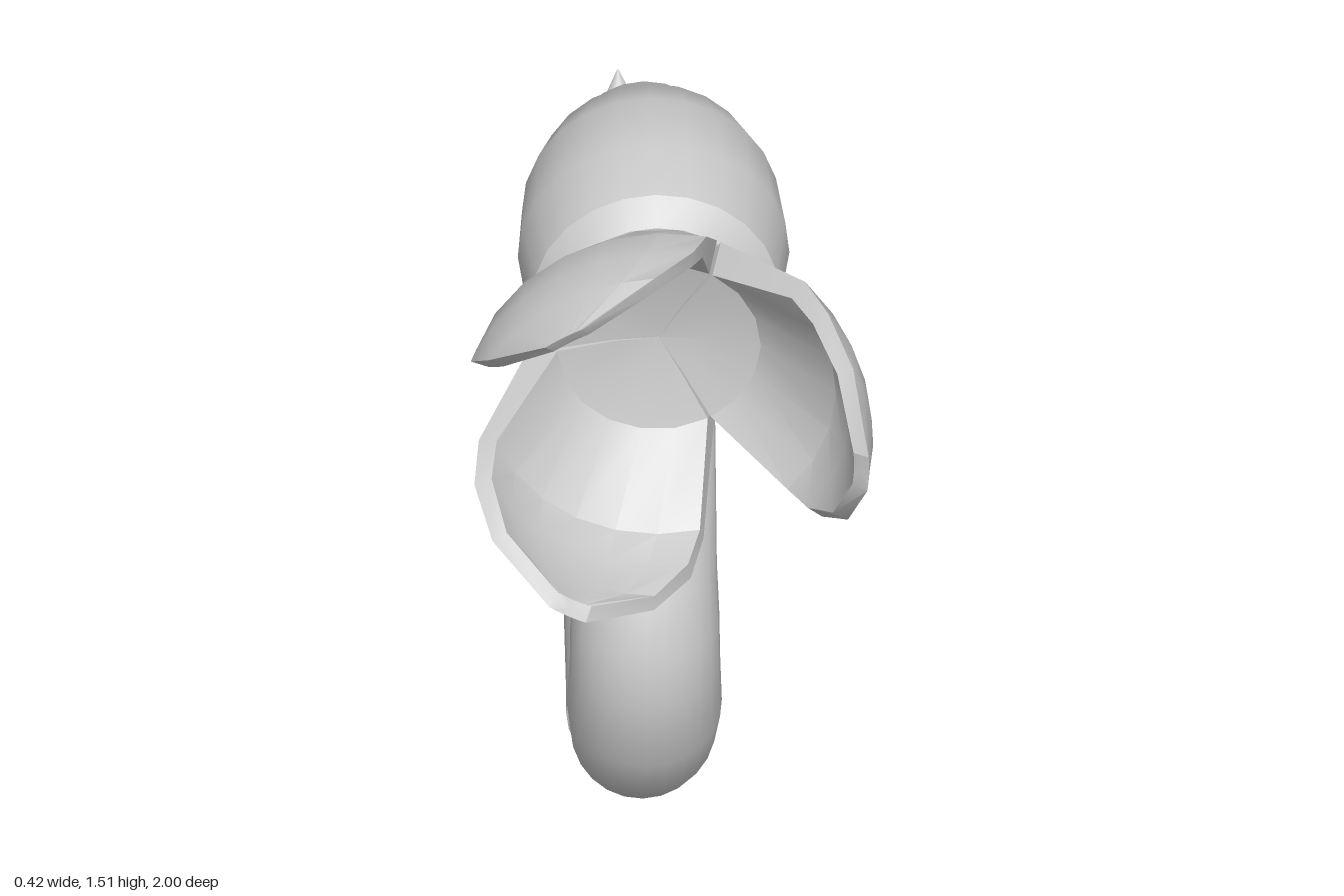
import * as THREE from 'three';
import { toCreasedNormals } from 'three/addons/utils/BufferGeometryUtils.js';

const material = new THREE.MeshStandardMaterial({ color: 0xcccccc });

// Skin a row of equal-length closed loops (counterclockwise about the travel direction), capping both ends.
function loft(name, loops, crease) {
  const n = loops[0].length;
  const pos = [], index = [];
  loops.forEach((loop) => loop.forEach((p) => pos.push(p.x, p.y, p.z)));
  for (let i = 0; i < loops.length - 1; i++) {
    for (let j = 0; j < n; j++) {
      const a = i * n + j, b = i * n + (j + 1) % n;
      index.push(a, b, b + n, a, b + n, a + n);
    }
  }
  [0, loops.length - 1].forEach((row) => {
    const c = new THREE.Vector3();
    loops[row].forEach((p) => c.addScaledVector(p, 1 / n));
    const centre = pos.length / 3;
    pos.push(c.x, c.y, c.z);
    for (let j = 0; j < n; j++) {
      const a = row * n + j, b = row * n + (j + 1) % n;
      if (row === 0) index.push(centre, b, a);
      else index.push(centre, a, b);
    }
  });
  const geo = new THREE.BufferGeometry();
  geo.setAttribute('position', new THREE.Float32BufferAttribute(pos, 3));
  geo.setIndex(index);
  const mesh = new THREE.Mesh(toCreasedNormals(geo, crease), material);
  mesh.name = name;
  return mesh;
}

// Round body section: each ring is given by its two opposite points [z, y, z, y] in the side plane.
function section(name, rings) {
  const sides = 24;
  const loops = rings.map(([z1, y1, z2, y2]) => {
    const r = Math.hypot(z1 - z2, y1 - y2) / 2;
    return Array.from({ length: sides }, (_, j) => {
      const t = (j / sides) * Math.PI * 2, c = Math.cos(t) / 2;
      return new THREE.Vector3(
        r * Math.sin(t),
        (y1 + y2) / 2 + c * (y1 - y2),
        (z1 + z2) / 2 + c * (z1 - z2));
    });
  });
  return loft(name, loops, 0.55);
}

// Jaw petal: shell rows of [outer r, outer z, inner r, inner z, half angle in degrees].
function petal(name, axisAngle) {
  const rows = [
    [0.001, 0.72, 0.001, 0.75, 59],
    [0.06, 0.72, 0.05, 0.755, 59],
    [0.13, 0.733, 0.11, 0.77, 59],
    [0.205, 0.85, 0.185, 0.86, 43],
    [0.217, 0.9, 0.197, 0.9, 38],
    [0.218, 0.95, 0.2, 0.948, 27],
    [0.21, 1.0, 0.195, 0.99, 6],
  ];
  const cols = 6;
  const loops = rows.map(([ro, zo, ri, zi, deg]) => {
    const half = THREE.MathUtils.degToRad(deg);
    const at = (r, z, k) => {
      const t = axisAngle + half * (2 * k / cols - 1);
      return new THREE.Vector3(r * Math.cos(t), 1.29 + r * Math.sin(t), z);
    };
    const loop = [];
    for (let k = 0; k <= cols; k++) loop.push(at(ro, zo, k));
    for (let k = cols; k >= 0; k--) loop.push(at(ri, zi, k));
    return loop;
  });
  return loft(name, loops, 0.4);
}

export function createModel() {
  const model = new THREE.Group();
  model.name = 'segmentedSerpent';

  // Three-part jaw
  const jaw = new THREE.Group();
  jaw.name = 'jaw';
  ['leftPetal', 'upperPetal', 'lowerPetal'].forEach((name, i) =>
    jaw.add(petal(name, i * Math.PI * 2 / 3)));
  model.add(jaw);

  // Body sections from head to tail
  model.add(section('head', [
    [0.695, 1.395, 0.695, 1.17],
    [0.675, 1.425, 0.678, 1.153],
    [0.6, 1.442, 0.59, 1.14],
    [0.5, 1.437, 0.51, 1.146],
    [0.425, 1.408, 0.45, 1.153],
    [0.405, 1.385, 0.438, 1.168],
  ]));
  model.add(section('upperNeck', [
    [0.39, 1.316, 0.417, 1.18],
    [0.342, 1.353, 0.396, 1.155],
    [0.25, 1.3, 0.335, 1.128],
    [0.166, 1.22, 0.28, 1.07],
    [0.08, 1.096, 0.235, 1.005],
    [0.035, 0.99, 0.218, 0.95],
    [0.016, 0.925, 0.213, 0.91],
    [0.016, 0.845, 0.22, 0.87],
    [0.035, 0.813, 0.205, 0.84],
  ]));
  model.add(section('lowerNeck', [
    [0.05, 0.786, 0.2, 0.82],
    [0.043, 0.757, 0.225, 0.8],
    [0.176, 0.572, 0.358, 0.6],
    [0.193, 0.52, 0.383, 0.52],
    [0.198, 0.465, 0.39, 0.45],
    [0.17, 0.385, 0.364, 0.33],
    [0.128, 0.32, 0.29, 0.214],
    [0.085, 0.28, 0.2, 0.128],
    [0.053, 0.26, 0.107, 0.075],
    [0.043, 0.238, 0.084, 0.088],
  ]));
  model.add(section('trunk', [
    [0.027, 0.214, 0.059, 0.064],
    [-0.005, 0.223, 0.04, 0.028],
    [-0.055, 0.2, -0.055, 0.002],
    [-0.5, 0.2, -0.5, 0],
    [-0.53, 0.173, -0.53, 0.03],
  ]));
  model.add(section('tailBase', [
    [-0.56, 0.173, -0.567, 0.032],
    [-0.588, 0.214, -0.595, 0.032],
    [-0.66, 0.248, -0.69, 0.08],
    [-0.728, 0.288, -0.787, 0.153],
    [-0.757, 0.278, -0.797, 0.182],
  ]));
  model.add(section('tailTip', [
    [-0.788, 0.32, -0.852, 0.2],
    [-0.79, 0.338, -0.872, 0.203],
    [-0.832, 0.39, -0.927, 0.29],
    [-0.885, 0.447, -0.973, 0.378],
    [-0.945, 0.498, -0.99, 0.465],
    [-0.994, 0.531, -0.996, 0.529],
  ]));

  return model;
}
